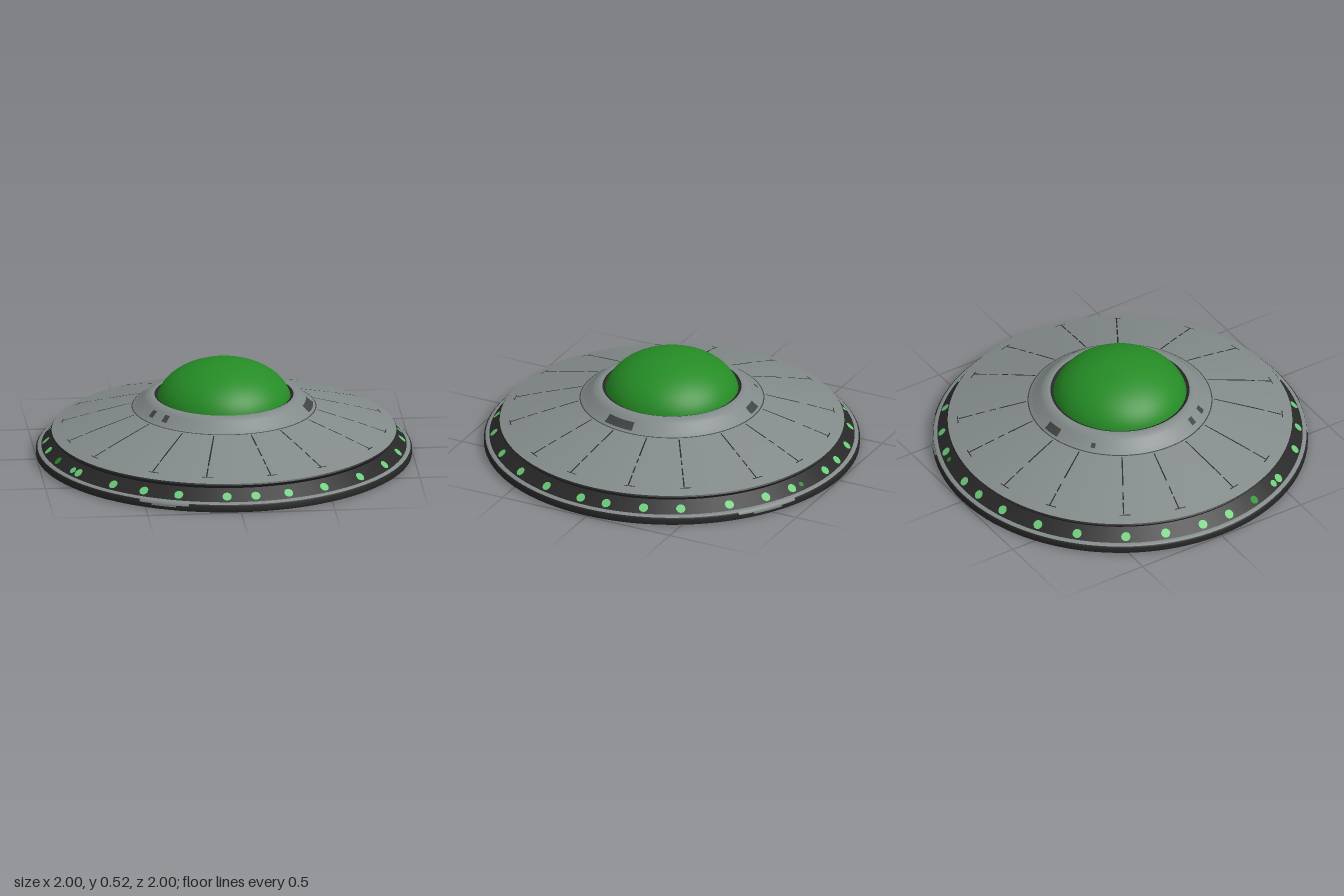
import * as THREE from 'three';

const mat = (name, color, side = THREE.FrontSide) => {
  const m = new THREE.MeshStandardMaterial({ color, side });
  m.name = name;
  return m;
};

export function createModel() {
  const ship = new THREE.Group();
  ship.name = 'flyingSaucer';
  const grey = mat('hullGrey', 0x838a8a);
  const dark = mat('darkMetal', 0x282828);
  const worn = mat('wornPatch', 0x414444);
  const green = mat('domeGreen', 0x258c25);
  const glow = mat('lightGreen', 0x69cc77);
  const rad = THREE.MathUtils.degToRad;

  // Turned part; angles are measured from +z towards +x
  function turn(name, material, pts, start = 0, sweep = 360, segs = 96, parent = ship) {
    const profile = pts.map(([r, y]) => new THREE.Vector2(r, y));
    const mesh = new THREE.Mesh(
      new THREE.LatheGeometry(profile, segs, rad(start), rad(sweep)), material);
    mesh.name = name;
    parent.add(mesh);
    return mesh;
  }

  // Body, from the underside up; separate rings keep the edges sharp
  turn('underside', dark, [[0, 0], [0.99, 0]]);
  turn('baseRim', dark, [[0.99, 0], [1, 0.006], [1, 0.036], [0.993, 0.043]]);
  turn('rimTrim', grey, [[0.993, 0.043], [0.985, 0.049], [0.972, 0.051]]);
  turn('lightBand', dark, [[0.972, 0.051], [0.905, 0.108]]);
  turn('bandUndercut', dark, [[0.905, 0.108], [0.922, 0.128]]);
  turn('hullEdge', dark, [[0.922, 0.128], [0.917, 0.135]]);
  turn('hull', grey, [[0.917, 0.135], [0.7, 0.204], [0.485, 0.267]]);
  turn('collar', grey, [[0.485, 0.267], [0.46, 0.283], [0.425, 0.318], [0.405, 0.332], [0.385, 0.336]]);
  turn('collarTop', grey, [[0.385, 0.336], [0.37, 0.336]]);
  turn('domeSeal', dark, [[0.37, 0.336], [0.364, 0.334], [0.345, 0.322]]);

  // Glass dome
  const dome = [];
  for (let i = 0; i <= 16; i++) {
    const a = (i / 16) * Math.PI / 2;
    dome.push([Math.max(0, 0.359 * Math.cos(a)), 0.29 + 0.23 * Math.sin(a)]);
  }
  turn('dome', green, dome, 0, 360, 64);

  // Round lights on the sloping band
  const lights = new THREE.Group();
  lights.name = 'rimLights';
  ship.add(lights);
  const tilt = Math.atan2(0.067, 0.057);
  function light(deg, material, size = 0.025) {
    const a = rad(deg), r = 0.948;
    const disc = new THREE.Mesh(new THREE.CircleGeometry(size, 12), material);
    disc.name = 'rimLight';
    disc.rotation.set(-tilt, a, 0, 'YXZ');
    disc.position.set(r * Math.sin(a), 0.075, r * Math.cos(a));
    lights.add(disc);
  }
  [5, 16, 29, 44.5, 59, 72.5, 86.4, 95.5, 108, 120, 136, 149, 159.5, 176.4,
    -4.3, -20, -32, -43.7, -60, -85, -95, -107.9, -120.9, -136.7, -150.2, -164, -175.2]
    .forEach(deg => light(deg, glow));
  light(-73.9, green, 0.023);
  light(-63.2, glow, 0.02);
  light(163.7, green, 0.014);

  // Broken panel seams, mirrored to all four quarters
  const seams = new THREE.Group();
  seams.name = 'panelSeams';
  ship.add(seams);
  const hullY = r => (r > 0.7
    ? 0.204 - (r - 0.7) * 0.069 / 0.217
    : 0.267 - (r - 0.485) * 0.063 / 0.215) + 0.002;
  function seam(deg, r0, r1) {
    const w = 0.4 / ((r0 + r1) / 2);
    turn('panelSeam', dark, [[r1, hullY(r1)], [r0, hullY(r0)]], deg - w / 2, w, 1, seams);
  }
  for (const base of [11.5, 31.5, 58.5, 78.5]) {
    [base, 180 - base, 180 + base, 360 - base].forEach((deg, i) => {
      const gap = 0.62 + 0.04 * i;
      seam(deg, 0.5, gap - 0.02);
      seam(deg, gap, 0.695);
      seam(deg, 0.72, 0.77);
      seam(deg, 0.785, 0.86);
      // Short cross seam at the outer end
      turn('crossSeam', dark, [[0.866, hullY(0.866)], [0.861, hullY(0.861)]], deg - 1.5, 4, 3, seams);
    });
  }
  turn('collarSeam', worn, [[0.492, hullY(0.492)], [0.486, hullY(0.486)]], 0, 360, 96, seams);

  // Worn plates on the collar: centre angle, width in degrees, radii
  const slope = r => (r > 0.46
    ? 0.283 - (r - 0.46) * 0.64
    : 0.283 + (0.46 - r)) + 0.003;
  [[79, 22, 0.436, 0.474], [186, 12, 0.44, 0.476], [-63.5, 4.5, 0.43, 0.46],
    [-49.5, 4.5, 0.43, 0.46], [-141, 3, 0.445, 0.465]].forEach(([deg, w, r0, r1]) => {
    const mid = Math.min(0.46, r1 - 0.001);
    turn('collarPatch', worn, [[r1, slope(r1)], [mid, slope(mid)], [r0, slope(r0)]],
      deg - w / 2, w, 8);
  });

  // Bare metal scuffs on the base rim, tapered in two steps
  [[-24, 16], [148, 20]].forEach(([deg, w]) => {
    turn('rimScuff', grey, [[1.001, 0.03], [1.001, 0.037], [0.994, 0.0445]], deg - w / 2, w, 10);
    turn('rimScuff', grey, [[1.001, 0.021], [1.001, 0.03]], deg - w / 4, w / 2, 6);
  });

  return ship;
}
